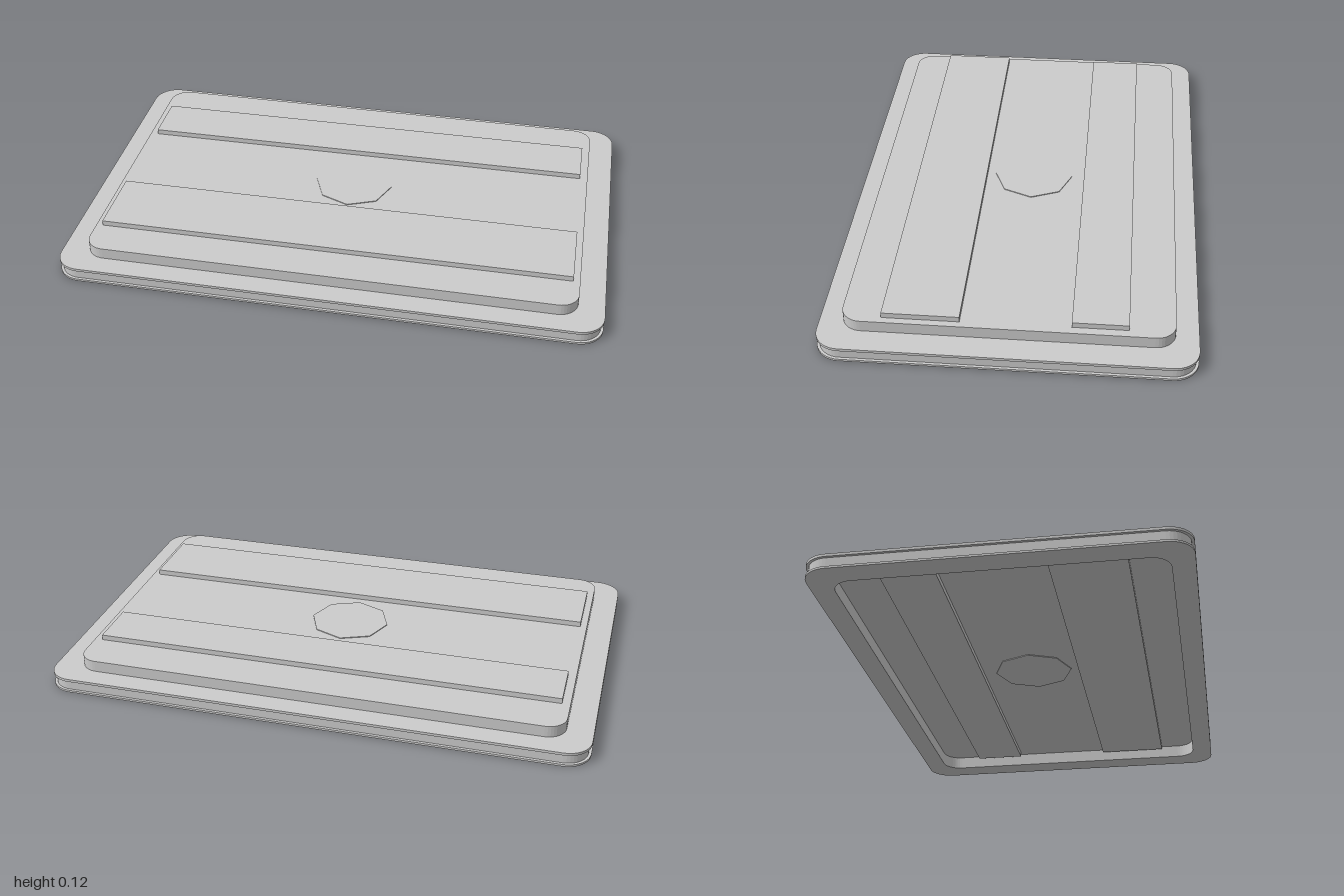
import * as THREE from 'three';

const material = new THREE.MeshStandardMaterial({ color: 0xcccccc, flatShading: true });

// Rounded rectangle outline from half extents
function roundedRect(path, w, d, r) {
  path.moveTo(w - r, -d);
  path.absarc(w - r, -d + r, r, -Math.PI / 2, 0);
  path.absarc(w - r, d - r, r, 0, Math.PI / 2);
  path.absarc(-w + r, d - r, r, Math.PI / 2, Math.PI);
  path.absarc(-w + r, -d + r, r, Math.PI, Math.PI * 1.5);
  path.closePath();
  return path;
}

const INNER = [0.905, 0.57, 0.07];

// Horizontal rounded slab between two heights, optionally opened in the middle
function slab(name, [w, d, r], y0, y1, open) {
  const shape = roundedRect(new THREE.Shape(), w, d, r);
  if (open) shape.holes.push(roundedRect(new THREE.Path(), ...INNER));
  const geo = new THREE.ExtrudeGeometry(shape, { depth: y1 - y0, bevelEnabled: false, curveSegments: 5 });
  geo.rotateX(-Math.PI / 2).translate(0, y0, 0);
  const mesh = new THREE.Mesh(geo, material);
  mesh.name = name;
  return mesh;
}

// Long bar passing through the panel, showing above and below it
function bar(name, halfWidth, z0, z1) {
  const y0 = 0.03, y1 = 0.118;
  const mesh = new THREE.Mesh(new THREE.BoxGeometry(halfWidth * 2, y1 - y0, z1 - z0), material);
  mesh.position.set(0, (y0 + y1) / 2, (z0 + z1) / 2);
  mesh.name = name;
  return mesh;
}

export function createModel() {
  const group = new THREE.Group();
  group.name = 'panel';

  // Rim: two thin flanges with a shallow groove between them
  group.add(slab('lowerFlange', [1, 0.65, 0.09], 0, 0.008, true));
  group.add(slab('rimWall', [0.99, 0.64, 0.08], 0.008, 0.045, true));
  group.add(slab('upperFlange', [1, 0.65, 0.09], 0.045, 0.055, true));

  // Raised centre panel, leaving the underside recessed
  group.add(slab('raisedPanel', INNER, 0.05, 0.098, false));

  // Front and back bars
  group.add(bar('frontBar', 0.88, 0.162, 0.43));
  group.add(bar('backBar', 0.875, -0.412, -0.218));

  // Thin octagonal disc in the middle
  const disc = new THREE.Mesh(new THREE.CylinderGeometry(0.15, 0.15, 0.054, 8), material);
  disc.position.set(0, 0.074, -0.02);
  disc.name = 'centreDisc';
  group.add(disc);

  return group;
}
